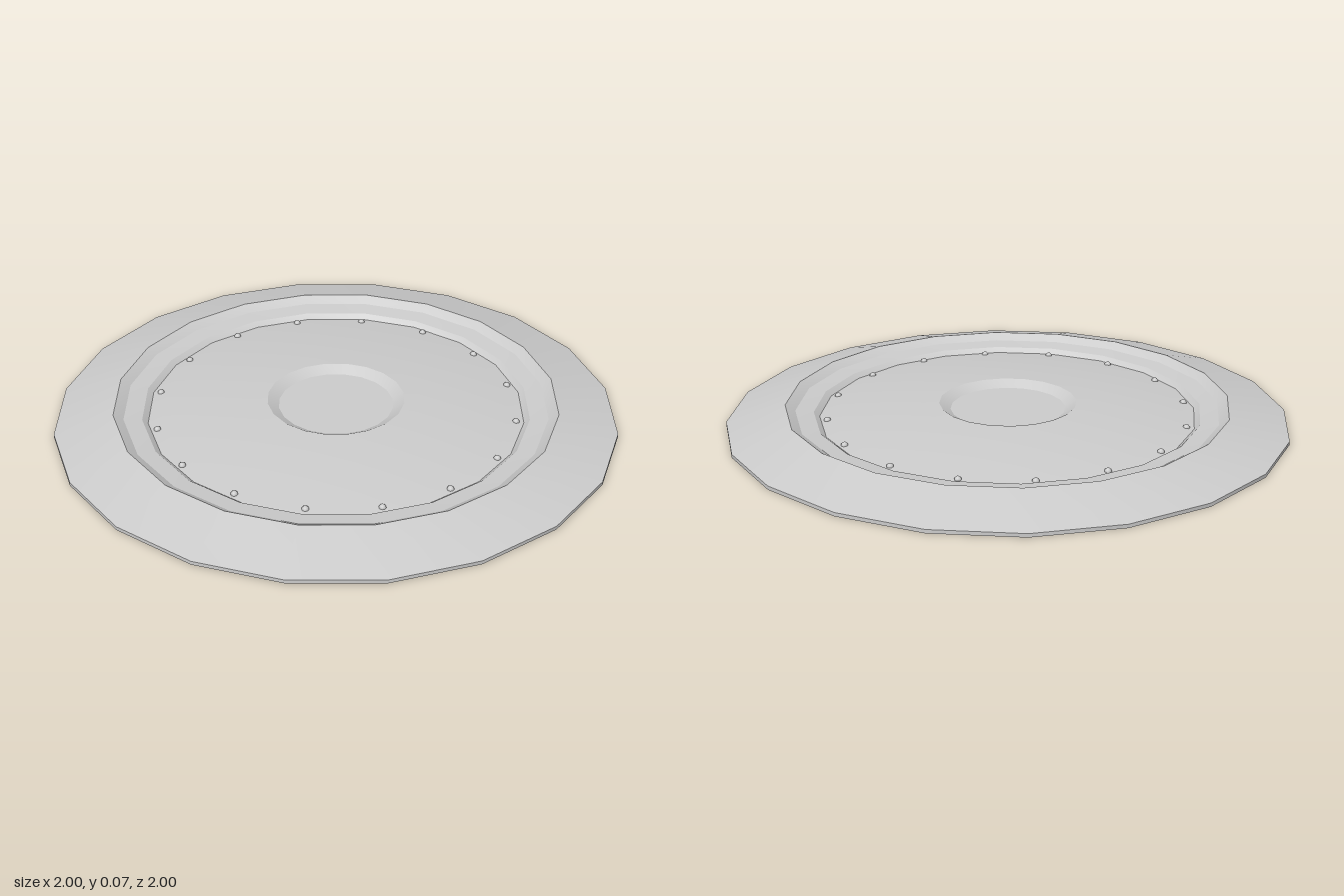
import * as THREE from 'three';
import { toCreasedNormals } from 'three/addons/utils/BufferGeometryUtils.js';

const SIDES = 20;
const domeY = (r) => 0.074 - 0.105 * r * r;

export function createModel() {
  const model = new THREE.Group();
  const sheet = new THREE.MeshStandardMaterial({ color: 0xcccccc, side: THREE.DoubleSide });

  // One thin turned band of the disc, given as [radius, height] from outside in
  function band(name, profile) {
    const points = profile.map(([r, y]) => new THREE.Vector2(r, y));
    const geometry = toCreasedNormals(new THREE.LatheGeometry(points, SIDES), 0.35);
    const mesh = new THREE.Mesh(geometry, sheet);
    mesh.name = name;
    model.add(mesh);
  }

  // Short upright lip and sloping skirt
  band('outerSkirt', [[1, 0], [1, 0.013], [0.79, 0.072]]);

  // Stepped ledge going down to the panel
  band('steppedLedge', [[0.79, 0.072], [0.755, 0.05], [0.69, 0.043], [0.67, domeY(0.67)]]);

  // Gently domed panel
  const dome = [];
  for (let i = 0; i <= 8; i++) {
    const r = THREE.MathUtils.lerp(0.67, 0.245, i / 8);
    dome.push([r, domeY(r)]);
  }
  band('domedPanel', dome);

  // Shallow dish in the middle
  band('centreDish', [[0.245, domeY(0.245)], [0.205, 0.045], [0, 0.045]]);

  // Ring of small rivets near the panel edge
  const rivets = new THREE.Group();
  rivets.name = 'rivets';
  const rivetGeometry = new THREE.SphereGeometry(0.013, 8, 4, 0, Math.PI * 2, 0, Math.PI / 2);
  for (let i = 0; i < 16; i++) {
    const angle = (i / 16) * Math.PI * 2;
    const rivet = new THREE.Mesh(rivetGeometry, sheet);
    rivet.name = 'rivet';
    rivet.position.set(Math.cos(angle) * 0.642, domeY(0.642) - 0.002, Math.sin(angle) * 0.642);
    rivets.add(rivet);
  }
  model.add(rivets);

  return model;
}
